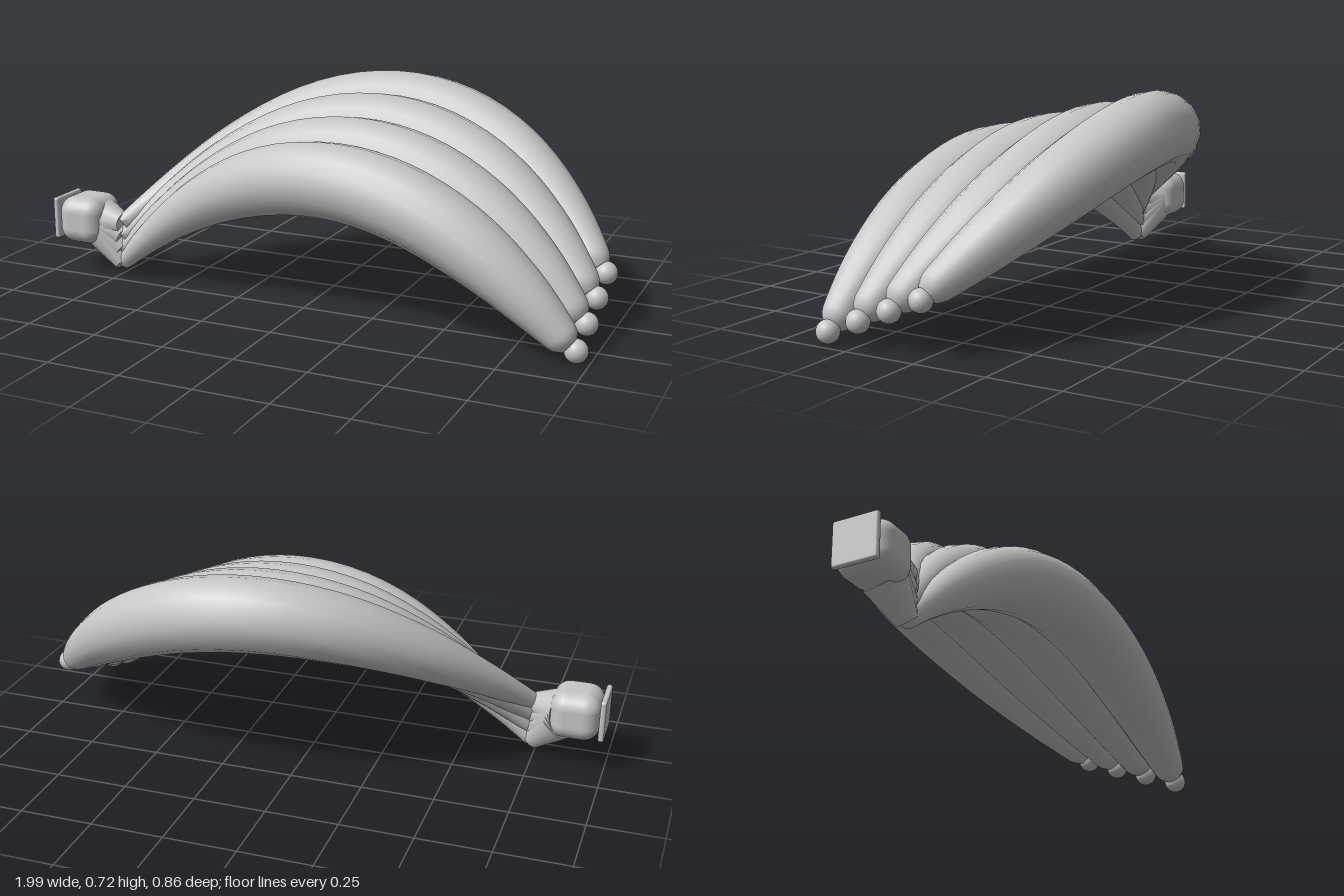
import * as THREE from 'three';
import { RoundedBoxGeometry } from 'three/addons/geometries/RoundedBoxGeometry.js';

const V = (x, y, z) => new THREE.Vector3(x, y, z);

// Radius along the fruit, as [t, radius] pairs blended smoothly
const profile = new THREE.SplineCurve([
  [0, 0.03], [0.05, 0.045], [0.1, 0.06], [0.2, 0.088], [0.34, 0.114], [0.5, 0.125], [0.65, 0.125],
  [0.79, 0.113], [0.9, 0.088], [0.97, 0.062], [0.99, 0.05], [1, 0.03],
].map(([t, r]) => new THREE.Vector2(t, r)));

// Round tube whose radius follows the profile, with closed ends
function taperedTube(curve, rings, sides) {
  const pos = [], index = [];
  const side = V(0, 0, 1);
  for (let i = 0; i <= rings; i++) {
    const s = profile.getPoint(i / rings);
    const t = THREE.MathUtils.clamp(s.x, 0, 1);
    const p = curve.getPoint(t), tan = curve.getTangent(t);
    const u = side.clone().addScaledVector(tan, -side.dot(tan)).normalize();
    const v = tan.clone().cross(u);
    for (let j = 0; j < sides; j++) {
      const a = j / sides * Math.PI * 2;
      const q = p.clone().addScaledVector(u, s.y * Math.cos(a)).addScaledVector(v, s.y * Math.sin(a));
      pos.push(q.x, q.y, q.z);
      if (i < rings) {
        const k = i * sides + j, n = i * sides + (j + 1) % sides;
        index.push(k, n, n + sides, k, n + sides, k + sides);
      }
    }
  }
  const last = rings * sides;
  for (let j = 1; j < sides - 1; j++) index.push(0, j + 1, j, last, last + j, last + j + 1);
  const g = new THREE.BufferGeometry();
  g.setAttribute('position', new THREE.Float32BufferAttribute(pos, 3));
  g.setIndex(index);
  g.computeVertexNormals();
  return g;
}

export function createModel() {
  const model = new THREE.Group();
  model.name = 'bananaBunch';
  const grey = new THREE.MeshStandardMaterial({ color: 0xc6c6c6 });
  grey.name = 'plain grey';

  const add = (name, geometry, at, parent = model) => {
    const m = new THREE.Mesh(geometry, grey);
    m.name = name;
    if (at) m.position.copy(at);
    parent.add(m);
    return m;
  };

  // Four fruits fanning out from the stem, front to back
  for (let i = 0; i < 4; i++) {
    const fruit = new THREE.Group();
    fruit.name = 'banana' + (i + 1);
    model.add(fruit);
    const start = V(-0.74, 0.048 + 0.047 * i, 0.19);
    const middle = V(0.1, 0.457 + 0.047 * i, 0.27 - 0.19 * i);
    const end = V(0.936, 0.048 + 0.047 * i, 0.35 - 0.1165 * i);
    const control = middle.clone().multiplyScalar(2).addScaledVector(start, -0.5).addScaledVector(end, -0.5);
    add('peel', taperedTube(new THREE.QuadraticBezierCurve3(start, control, end), 48, 16), null, fruit);

    // Rounded blossom tip
    add('tip', new THREE.SphereGeometry(0.038, 20, 14), V(0.957, 0.038 + 0.047 * i, end.z), fruit);

    // Neck flaring into the stem
    const root = V(-0.82, 0.14 + 0.016 * i, 0.17);
    const dir = start.clone().sub(root);
    const neck = add('neck', new THREE.CylinderGeometry(0.036, 0.075, dir.length() + 0.01, 12),
      root.clone().add(start).multiplyScalar(0.5), fruit);
    neck.quaternion.setFromUnitVectors(V(0, 1, 0), dir.normalize());
  }

  // Stem block and its cut end
  add('stem', new RoundedBoxGeometry(0.172, 0.168, 0.188, 5, 0.055), V(-0.89, 0.192, 0.17));
  add('stemCut', new RoundedBoxGeometry(0.02, 0.15, 0.155, 3, 0.008), V(-0.985, 0.195, 0.17));
  return model;
}
